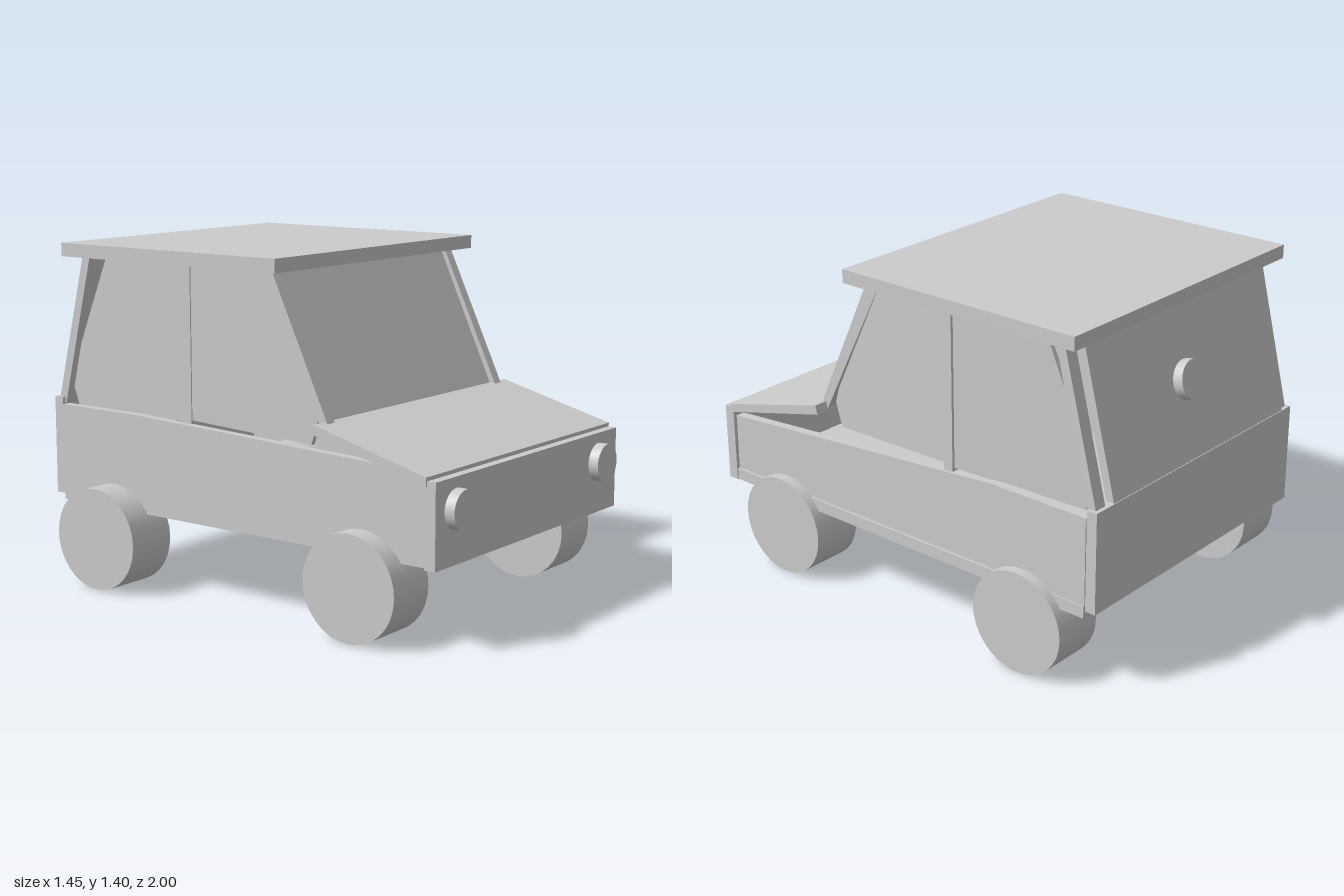
import * as THREE from 'three';

const material = new THREE.MeshStandardMaterial({ color: 0xcccccc, flatShading: true });
const smooth = new THREE.MeshStandardMaterial({ color: 0xcccccc });

export function createModel() {
  const group = new THREE.Group();

  function add(name, geometry, mat = material) {
    const mesh = new THREE.Mesh(geometry, mat);
    mesh.name = name;
    group.add(mesh);
    return mesh;
  }

  // Side profile of [z, y] points, extruded from x0 to x1
  function panel(name, profile, x0, x1) {
    const shape = new THREE.Shape(profile.map(([z, y]) => new THREE.Vector2(-z, y)));
    const g = new THREE.ExtrudeGeometry(shape, { depth: x1 - x0, bevelEnabled: false });
    g.rotateY(Math.PI / 2).translate(x0, 0, 0);
    return add(name, g);
  }

  function block(name, x0, x1, y0, y1, z0, z1) {
    const g = new THREE.BoxGeometry(x1 - x0, y1 - y0, z1 - z0);
    add(name, g.translate((x0 + x1) / 2, (y0 + y1) / 2, (z0 + z1) / 2));
  }

  // Lower body
  block('floor', -0.605, 0.685, 0.32, 0.37, -0.94, 0.92);
  block('frontPanel', -0.63, 0.69, 0.32, 0.65, 0.91, 0.957);
  block('rearPanel', -0.605, 0.675, 0.345, 0.755, -0.985, -0.94);
  panel('hood', [[0.92, 0.63], [0.92, 0.665], [0.41, 0.797], [0.4, 0.76]], -0.637, 0.695);
  panel('leftSide', [[0.91, 0.37], [0.91, 0.61], [-0.52, 0.725], [-0.52, 0.37]], 0.635, 0.675);
  panel('leftQuarter', [[-0.52, 0.37], [-0.52, 0.725], [-0.94, 0.725], [-0.94, 0.37]], 0.635, 0.68);
  panel('rightSide', [[0.91, 0.37], [0.91, 0.625], [0.66, 0.68], [-0.52, 0.725],
    [-0.94, 0.725], [-0.94, 0.37]], -0.605, -0.565);

  // Roof, windscreen and rear window
  block('roof', -0.645, 0.69, 1.35, 1.405, -0.885, 0.235);
  panel('windscreen', [[0.41, 0.78], [0.145, 1.35], [0.125, 1.35], [0.39, 0.78]], -0.535, 0.595);
  panel('rearWindow', [[-0.965, 0.77], [-0.82, 1.35], [-0.855, 1.35], [-1, 0.77]], -0.515, 0.595);
  for (const [side, x0, x1] of [['right', -0.575, -0.53], ['left', 0.59, 0.635]]) {
    panel(side + 'FrontPillar', [[0.44, 0.77], [0.165, 1.35], [0.1, 1.35], [0.4, 0.77]], x0, x1);
  }
  for (const [side, x0, x1] of [['right', -0.59, -0.525], ['left', 0.605, 0.66]]) {
    panel(side + 'RearPillar', [[-0.935, 0.73], [-0.78, 1.35], [-0.82, 1.35], [-0.975, 0.73]], x0, x1);
  }

  // Side windows angle out slightly towards the middle pillar
  const frontPane = [[0.34, 0.7], [0.372, 0.8], [0.345, 0.88], [0.165, 1.35], [-0.27, 1.35], [-0.27, 0.73]];
  const rearPane = [[-0.27, 0.72], [-0.27, 1.35], [-0.715, 1.35], [-0.89, 0.94], [-0.92, 0.8], [-0.89, 0.72]];
  for (const [side, s, x, lean] of [['left', 1, 0.645, 0.06], ['right', -1, -0.56, 0.02]]) {
    for (const [name, pane] of [['FrontWindow', frontPane], ['RearWindow', rearPane]]) {
      const g = panel(side + name, pane, x - 0.01, x + 0.01).geometry;
      const p = g.attributes.position;
      for (let i = 0; i < p.count; i++) {
        p.setX(i, p.getX(i) - s * lean * Math.abs(p.getZ(i) + 0.27));
      }
      g.computeVertexNormals();
    }
    block(side + 'MiddlePillar', x - 0.015, x + 0.02, 0.7, 1.35, -0.292, -0.25);
  }

  // Wheels
  const wheels = [
    ['frontRightWheel', -0.69, 0.61], ['frontLeftWheel', 0.502, 0.61],
    ['rearRightWheel', -0.725, -0.65], ['rearLeftWheel', 0.502, -0.65],
  ];
  for (const [name, x, z] of wheels) {
    const g = new THREE.CylinderGeometry(0.211, 0.211, 0.22, 32).rotateZ(Math.PI / 2);
    add(name, g, smooth).position.set(x + 0.11, 0.212, z);
  }

  // Headlights and the disc on the rear window
  for (const [name, x] of [['rightHeadlight', -0.495], ['leftHeadlight', 0.545]]) {
    const g = new THREE.CylinderGeometry(0.078, 0.078, 0.06, 32).rotateX(Math.PI / 2);
    add(name, g, smooth).position.set(x, 0.53, 0.97);
  }
  const disc = new THREE.CylinderGeometry(0.078, 0.078, 0.045, 32).rotateX(Math.PI / 2 + 0.245);
  add('rearDisc', disc, smooth).position.set(0.065, 1.07, -0.945);

  return group;
}
